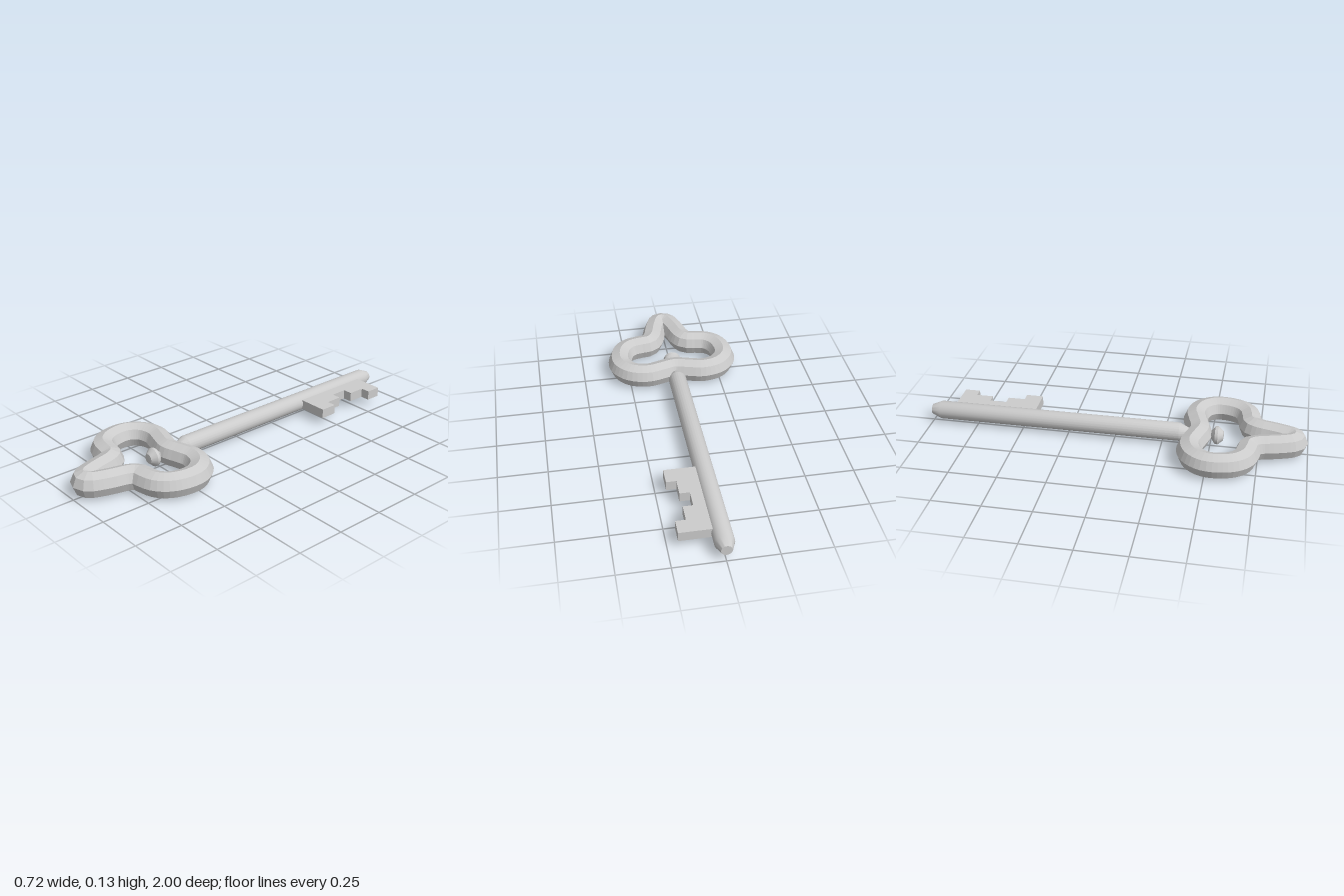
import * as THREE from 'three';
import { toCreasedNormals } from 'three/addons/utils/BufferGeometryUtils.js';

const MID = 0.065; // height of the key's centre plane

export function createModel() {
  const key = new THREE.Group();
  key.name = 'key';
  const material = new THREE.MeshStandardMaterial({ color: 0xcccccc });
  const faceted = new THREE.MeshStandardMaterial({ color: 0xcccccc, flatShading: true });

  const add = (name, geometry, mat = material) => {
    const mesh = new THREE.Mesh(geometry, mat);
    mesh.name = name;
    key.add(mesh);
  };

  // Bow: an octagonal tube along a mirrored three-lobed loop, as [x, z]
  const half = [
    [0.08, 0.425], [0.155, 0.408], [0.235, 0.43], [0.285, 0.49], [0.293, 0.555],
    [0.27, 0.635], [0.225, 0.68], [0.165, 0.697], [0.11, 0.708], [0.082, 0.75],
    [0.066, 0.81], [0.048, 0.87], [0.025, 0.92],
  ];
  const mirrored = half.map(([x, z]) => [-x, z]).reverse();
  const loop = [[0, 0.445], ...half, [0, 0.932], ...mirrored];
  const path = new THREE.CatmullRomCurve3(
    loop.map(([x, z]) => new THREE.Vector3(x, MID, z)), true);
  add('bow', new THREE.TubeGeometry(path, 88, 0.065, 8, true), faceted);

  // Turned parts lie along z; profiles run as [radius, z]
  const turned = (profile, sides) => {
    const points = profile.map(([r, z]) => new THREE.Vector2(r, z));
    const geometry = new THREE.LatheGeometry(points, sides);
    geometry.rotateX(Math.PI / 2).translate(0, MID, 0);
    return toCreasedNormals(geometry, 0.5);
  };

  // Shaft with a chamfered tip, tapering into the bow
  add('shaft', turned([
    [0, -1], [0.027, -1], [0.048, -0.95], [0.048, 0.34], [0.022, 0.395], [0, 0.395],
  ], 24));

  // Small knob on a neck inside the bow
  add('knob', turned([
    [0, 0.42], [0.02, 0.42], [0.02, 0.505], [0.046, 0.525], [0.048, 0.54],
    [0.025, 0.567], [0, 0.57],
  ], 16));

  // Bit: stepped teeth, extruded through the thickness
  const teeth = [
    [0.02, -0.88], [0.2, -0.88], [0.2, -0.8], [0.15, -0.8], [0.15, -0.71], [0.1, -0.71],
    [0.1, -0.62], [0.15, -0.62], [0.15, -0.53], [0.2, -0.53], [0.2, -0.44], [0.02, -0.44],
  ];
  const outline = new THREE.Shape(teeth.map(([x, z]) => new THREE.Vector2(x, z)));
  const bit = new THREE.ExtrudeGeometry(outline, { depth: 0.05, bevelEnabled: false });
  bit.rotateX(Math.PI / 2).translate(0, MID + 0.025, 0);
  add('bit', bit, faceted);

  return key;
}
